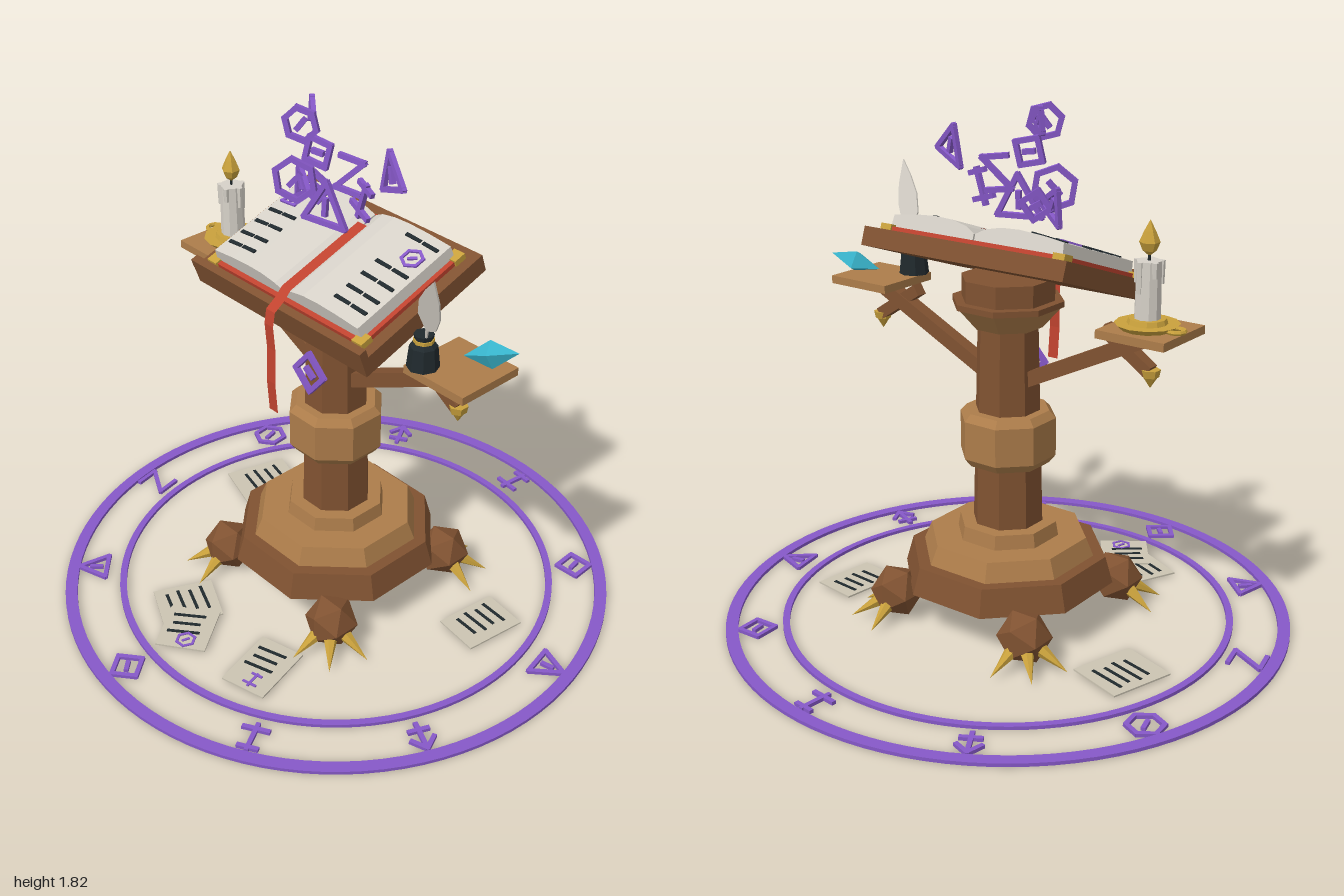
import * as THREE from 'three';
import { mergeGeometries } from 'three/addons/utils/BufferGeometryUtils.js';

const V = (x, y, z) => new THREE.Vector3(x, y, z);
const UP = V(0, 1, 0);

export function createModel() {
  const root = new THREE.Group();
  root.name = 'spellbookLectern';
  const paint = (name, color) => Object.assign(new THREE.MeshStandardMaterial({ color }), { name });
  const wood = paint('wood', 0x805231), lightWood = paint('lightWood', 0xac7c4a);
  const darkWood = paint('darkWood', 0x65432a), gold = paint('gold', 0xc9a13c);
  const red = paint('red', 0xc0432f), page = paint('page', 0xd6d1c8);
  const parchment = paint('parchment', 0xcbc4b2), ink = paint('ink', 0x20292d);
  const purple = paint('purple', 0x8658c8), teal = paint('teal', 0x38b4cc);
  red.side = THREE.DoubleSide;

  // Adds a faceted mesh
  const add = (name, geo, mat, pos = [0, 0, 0], parent = root) => {
    const g = geo.index ? geo.toNonIndexed() : geo;
    g.computeVertexNormals();
    const m = new THREE.Mesh(g, mat);
    m.name = name;
    m.position.set(...pos);
    parent.add(m);
    return m;
  };
  const box = (w, h, d) => new THREE.BoxGeometry(w, h, d);
  const cyl = (rt, rb, h, n = 12) => new THREE.CylinderGeometry(rt, rb, h, n);
  // Eight-sided tier with flats to the front; radii are to the flats
  const tier = (name, y0, y1, rb, rt, mat) => {
    const k = 1 / Math.cos(Math.PI / 8);
    add(name, cyl(rt * k, rb * k, y1 - y0, 8).rotateY(Math.PI / 8), mat, [0, (y0 + y1) / 2, 0]);
  };
  // Part whose y axis runs from a to b
  const along = (name, geo, mat, a, b) => {
    const m = add(name, geo, mat, a.clone().add(b).multiplyScalar(0.5).toArray());
    m.quaternion.setFromUnitVectors(UP, b.clone().sub(a).normalize());
    return m;
  };

  // Runes: each glyph is a set of strokes in a unit square
  const loop = (n, r, turn = 0) => Array.from({ length: n }, (_, i) => {
    const p = (j) => [r * Math.sin(turn + j * 2 * Math.PI / n), r * Math.cos(turn + j * 2 * Math.PI / n)];
    return [...p(i), ...p(i + 1)];
  });
  const glyphs = {
    bars: [[0, -0.5, 0, 0.5], [-0.3, 0.42, 0.3, 0.42], [-0.4, -0.32, 0.4, -0.32]],
    diamond: [...loop(4, 0.55), [-0.12, 0.1, 0.12, -0.1]],
    triangle: [...loop(3, 0.62), [0, -0.12, 0, 0.22]],
    arrow: [[0, -0.5, 0, 0.5], [-0.36, 0.1, 0, 0.5], [0.36, 0.1, 0, 0.5], [-0.3, -0.25, 0.3, -0.25]],
    zigzag: [[-0.4, 0.5, 0.4, 0.5], [0.4, 0.5, -0.4, -0.5], [-0.4, -0.5, 0.4, -0.5]],
    hexagon: [...loop(6, 0.55), [-0.15, -0.12, 0.15, 0.12]],
  };
  const runeGeo = (type, size, w = 0.016, depth = 0.012) => mergeGeometries(glyphs[type].map(([x1, y1, x2, y2]) => {
    const dx = (x2 - x1) * size, dy = (y2 - y1) * size;
    return box(Math.hypot(dx, dy) + w * 0.7, w, depth).rotateZ(Math.atan2(dy, dx))
      .translate((x1 + x2) / 2 * size, (y1 + y2) / 2 * size, 0);
  }));

  // Magic circle on the floor
  const ring = (name, r1, r2) => {
    const s = new THREE.Shape().absarc(0, 0, r2, 0, Math.PI * 2);
    s.holes.push(new THREE.Path().absarc(0, 0, r1, 0, Math.PI * 2, true));
    add(name, new THREE.ExtrudeGeometry(s, { depth: 0.012, bevelEnabled: false, curveSegments: 48 })
      .rotateX(-Math.PI / 2), purple);
  };
  ring('outerRing', 0.957, 1);
  ring('innerRing', 0.778, 0.802);
  ['bars', 'diamond', 'triangle', 'arrow', 'bars', 'diamond', 'triangle', 'zigzag', 'hexagon', 'arrow'].forEach((t, i) => {
    const a = 0.112 + i * Math.PI / 5;
    add('floorRune', runeGeo(t, 0.11).rotateX(-Math.PI / 2), purple,
      [0.89 * Math.sin(a), 0.006, -0.89 * Math.cos(a)]).rotation.y = -a;
  });

  // Loose sheets: x, z, turn, width, height, rune
  [[-0.21, 0.535, -0.44, 0.19, 0.215], [-0.10, 0.62, 0.62, 0.18, 0.2, 'hexagon'],
    [0.22, 0.545, 0.25, 0.17, 0.24, 'bars'], [-0.58, -0.145, -0.3, 0.21, 0.24],
    [0.575, -0.17, -0.13, 0.17, 0.23]].forEach(([x, z, turn, w, h, rune], i) => {
    const sheet = new THREE.Group();
    sheet.name = 'looseSheet';
    sheet.position.set(x, 0.008 + (i === 1 ? 0.006 : 0), z);
    sheet.rotation.y = turn;
    root.add(sheet);
    add('sheetPaper', box(w, 0.006, h), parchment, [0, 0, 0], sheet);
    for (let r = 0; r < (rune ? 3 : 4); r++) {
      add('sheetLine', box(w * (r % 2 ? 0.55 : 0.65), 0.004, 0.011), ink, [-0.01, 0.004, -h * 0.3 + r * 0.042], sheet)
        .rotation.y = 0.06;
    }
    if (rune) add('sheetRune', runeGeo(rune, 0.06, 0.009, 0.005).rotateX(-Math.PI / 2), purple, [0.01, 0.004, h * 0.3], sheet);
  });

  // Pedestal
  tier('baseTier', 0.15, 0.245, 0.35, 0.325, wood);
  tier('baseStep', 0.245, 0.31, 0.285, 0.26, lightWood);
  tier('columnFoot', 0.31, 0.36, 0.168, 0.16, lightWood);
  tier('column', 0.36, 1.08, 0.115, 0.098, wood);
  tier('collarLower', 0.58, 0.61, 0.135, 0.157, lightWood);
  tier('collar', 0.61, 0.745, 0.157, 0.157, lightWood);
  tier('collarUpper', 0.745, 0.77, 0.157, 0.135, lightWood);
  tier('capital', 1.065, 1.14, 0.112, 0.172, lightWood);
  tier('capitalPlate', 1.14, 1.16, 0.18, 0.18, wood);
  tier('boardMount', 1.16, 1.235, 0.15, 0.15, wood);

  // Clawed feet
  for (const sx of [-1, 1]) for (const sz of [-1, 1]) {
    add('foot', new THREE.IcosahedronGeometry(0.095, 0), wood, [sx * 0.28, 0.1, sz * 0.28]);
    for (const a of [-0.9, 0, 0.9]) {
      const t = Math.PI / 4 + a, dx = sx * Math.cos(t), dz = sz * Math.sin(t);
      along('claw', new THREE.ConeGeometry(0.027, 0.13, 6), gold,
        V(sx * 0.28 + dx * 0.05, 0.075, sz * 0.28 + dz * 0.05), V(sx * 0.28 + dx * 0.165, 0.012, sz * 0.28 + dz * 0.165));
    }
  }

  // Side shelves on braces
  for (const s of [-1, 1]) {
    const beam = (name, a, b, w) => along(name, box(w, a.distanceTo(b), w), wood, a, b);
    beam('longBrace', V(s * 0.09, 0.89, 0), V(s * 0.57, 1.125, 0), 0.05);
    beam('shortBrace', V(s * 0.565, 1.01, 0), V(s * 0.39, 1.125, 0), 0.042);
    add('braceCap', cyl(0.033, 0.028, 0.025, 6), gold, [s * 0.565, 1.005, 0]);
    add('braceTip', new THREE.ConeGeometry(0.026, 0.04, 6).rotateX(Math.PI), gold, [s * 0.565, 0.975, 0]);
    add('shelf', box(0.25, 0.028, 0.25), lightWood, [s * 0.562, 1.142, -0.005]);
  }

  // Tilted board with the open book
  const desk = new THREE.Group();
  desk.name = 'desk';
  desk.position.y = 1.275;
  desk.rotation.x = 0.33;
  root.add(desk);
  add('board', box(0.82, 0.065, 0.55), wood, [0, 0, 0], desk);
  add('bookRest', box(0.82, 0.035, 0.028), wood, [0, 0.048, 0.262], desk);
  add('bookCover', box(0.735, 0.016, 0.46), red, [0, 0.04, 0], desk);
  const profile = [[0.003, 0.07], [0.04, 0.09], [0.1, 0.103], [0.17, 0.106], [0.25, 0.101], [0.345, 0.089]];
  const pageY = (x) => {
    const i = Math.max(1, profile.findIndex((p) => p[0] >= x)), [a, b] = [profile[i - 1], profile[i]];
    return a[1] + (b[1] - a[1]) * (x - a[0]) / (b[0] - a[0]);
  };
  for (const s of [-1, 1]) {
    const shape = new THREE.Shape([[0.003, 0.048], ...profile, [0.35, 0.048]].map(([x, y]) => new THREE.Vector2(s * x, y)));
    add('pages', new THREE.ExtrudeGeometry(shape, { depth: 0.424, bevelEnabled: false }).translate(0, 0, -0.212), page, [0, 0, 0], desk);
    for (const z of [-0.17, -0.03, 0.035, 0.1, 0.155]) for (const x of [0.225, 0.297]) {
      add('textLine', box(0.064, 0.006, 0.013), ink, [s * x, pageY(x) + 0.001, z], desk).rotation.z = -s * 0.1;
    }
    add('pageRune', runeGeo(s < 0 ? 'triangle' : 'hexagon', 0.065, 0.01, 0.006).rotateX(-Math.PI / 2), purple,
      [s * 0.285, pageY(0.285) + 0.003, -0.1], desk).rotation.z = -s * 0.1;
    for (const z of [-1, 1]) add('coverCorner', box(0.045, 0.024, 0.045), gold, [s * 0.352, 0.042, z * 0.214], desk);
  }

  // Ribbon bookmark: y, z, shift in x
  const path = [[1.41, -0.1, 0], [1.297, 0.23, 0], [1.265, 0.262, 0], [1.24, 0.298, 0], [1.19, 0.307, 0],
    [1.1, 0.302, 0.003], [0.98, 0.31, 0.007], [0.865, 0.304, 0.01]];
  const strip = new THREE.PlaneGeometry(0.042, 1, 1, path.length - 1), sp = strip.attributes.position;
  for (let i = 0; i < sp.count; i++) {
    const [y, z, x] = path[i >> 1];
    sp.setXYZ(i, sp.getX(i) + 0.018 + x, y, z);
  }
  add('ribbon', strip, red);

  // Candle on its dish
  const cx = -0.56, cz = -0.02;
  add('candleDish', cyl(0.105, 0.085, 0.018), gold, [cx, 1.166, cz]);
  add('dishCup', cyl(0.06, 0.066, 0.018), gold, [cx, 1.182, cz]);
  add('dishHandle', new THREE.TorusGeometry(0.027, 0.008, 6, 10).rotateX(Math.PI / 2), gold, [cx - 0.105, 1.166, cz]);
  add('candle', cyl(0.04, 0.043, 0.19, 10), page, [cx, 1.28, cz]);
  for (let i = 0; i < 5; i++) {
    const a = i * 1.257 + 0.4, h = 0.05 + 0.025 * (i % 3);
    add('waxDrip', cyl(0.011, 0.009, h, 6), page, [cx + 0.04 * Math.sin(a), 1.375 - h / 2, cz + 0.04 * Math.cos(a)]);
  }
  add('wick', cyl(0.005, 0.005, 0.03, 6), ink, [cx, 1.385, cz]);
  add('flame', new THREE.LatheGeometry([[0, 0], [0.022, 0.018], [0.033, 0.045], [0.018, 0.08], [0, 0.115]]
    .map(([x, y]) => new THREE.Vector2(x, y)), 6), gold, [cx, 1.388, cz]);

  // Ink pot and quill
  add('inkPot', cyl(0.045, 0.053, 0.075, 8), ink, [0.48, 1.193, 0.078]);
  add('inkShoulder', cyl(0.028, 0.045, 0.015, 8), ink, [0.48, 1.238, 0.078]);
  add('inkRim', cyl(0.034, 0.034, 0.012, 8), gold, [0.48, 1.25, 0.078]);
  add('inkNeck', cyl(0.033, 0.03, 0.016, 8), ink, [0.48, 1.264, 0.078]);
  const vane = new THREE.Shape([[-0.003, -0.16], [0.003, -0.16], [0.005, -0.1], [0.035, -0.07], [0.046, 0], [0.036, 0.07],
    [0.006, 0.155], [-0.022, 0.09], [-0.043, 0.02], [-0.042, -0.05], [-0.005, -0.1]].map(([x, y]) => new THREE.Vector2(x, y)));
  along('quill', new THREE.ExtrudeGeometry(vane, { depth: 0.006, bevelEnabled: false }).translate(0, 0, -0.003), page,
    V(0.495, 1.255, 0.085), V(0.598, 1.545, 0.175));

  // Crystal
  along('crystal', new THREE.OctahedronGeometry(1, 0).scale(0.045, 0.092, 0.045), teal, V(0.55, 1.18, -0.03), V(0.71, 1.23, -0.1));

  // Floating runes: glyph, x, y, z, size, turn, tilt
  [['hexagon', -0.12, 1.755, 0.04, 0.1, 0.3, 0.5], ['diamond', -0.085, 1.66, 0.0, 0.1, 0.6, 0.3],
    ['triangle', -0.15, 1.77, -0.035, 0.07, 0.4, -0.6], ['triangle', 0.2, 1.655, -0.05, 0.125, 0.35, -0.3],
    ['zigzag', 0, 1.59, -0.06, 0.11, -0.1, 0.3], ['triangle', -0.03, 1.485, 0.02, 0.15, 0, 0.2],
    ['bars', 0.08, 1.535, -0.04, 0.12, -0.3, -0.2], ['hexagon', -0.165, 1.545, 0.03, 0.13, 0.2, 0.5],
    ['triangle', -0.2, 1.5, -0.03, 0.11, 0.5, -0.4], ['diamond', -0.15, 1.5, -0.05, 0.09, 0.2, 0.4],
    ['diamond', 0, 0.92, 0.12, 0.125, 0.1, 0]].forEach(([t, x, y, z, size, turn, tilt]) => {
    add('floatingRune', runeGeo(t, size, 0.018, 0.016), purple, [x, y, z]).rotation.set(-0.08, tilt, turn);
  });
  return root;
}
